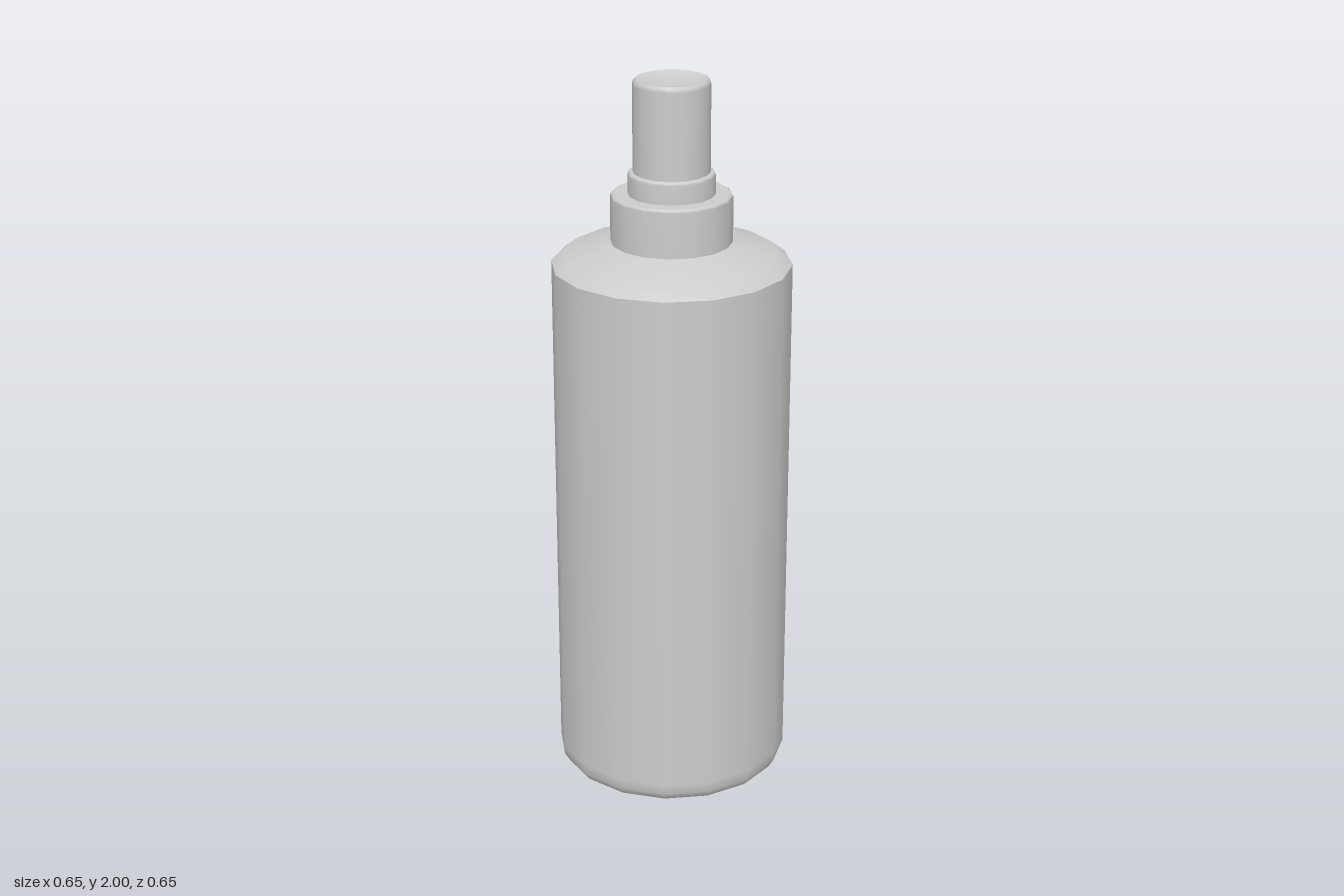
import * as THREE from 'three';

const SIDES = 16;

export function createModel() {
  const model = new THREE.Group();
  model.name = 'sprayBottle';
  const material = new THREE.MeshStandardMaterial({ color: 0xcccccc });

  // Each smooth band is its own lathe, so the edges between bands stay sharp.
  function turn(name, profile) {
    const points = profile.map(([r, y]) => new THREE.Vector2(r, y));
    const mesh = new THREE.Mesh(new THREE.LatheGeometry(points, SIDES), material);
    mesh.name = name;
    model.add(mesh);
  }

  // A stepped ring: straight wall, softened rim and a flat top running inwards.
  function step(name, radius, bottom, top, inner) {
    const b = 0.008;
    turn(name + 'Wall', [[radius, bottom], [radius, top - b], [radius - b * 0.4, top - b * 0.3], [radius - b, top]]);
    turn(name + 'Top', [[radius - b, top], [inner, top]]);
  }

  // Bottle
  turn('base', [[0, 0.008], [0.27, 0.008], [0.29, 0]]);
  turn('body', [[0.29, 0], [0.312, 0.009], [0.326, 0.032], [0.326, 0.06], [0.326, 1.495]]);
  turn('shoulder', [[0.326, 1.495], [0.288, 1.524], [0.165, 1.558]]);

  // Collar and the smaller ring above it
  step('collar', 0.165, 1.555, 1.69, 0.11);
  step('ring', 0.118, 1.69, 1.75, 0.1);

  // Pump button with a softened rim and a shallow finger dish
  turn('button', [[0.104, 1.75], [0.104, 1.985], [0.102, 1.995], [0.096, 2]]);
  turn('buttonDish', [[0.096, 2], [0.075, 1.993], [0.04, 1.988], [0, 1.986]]);

  return model;
}
